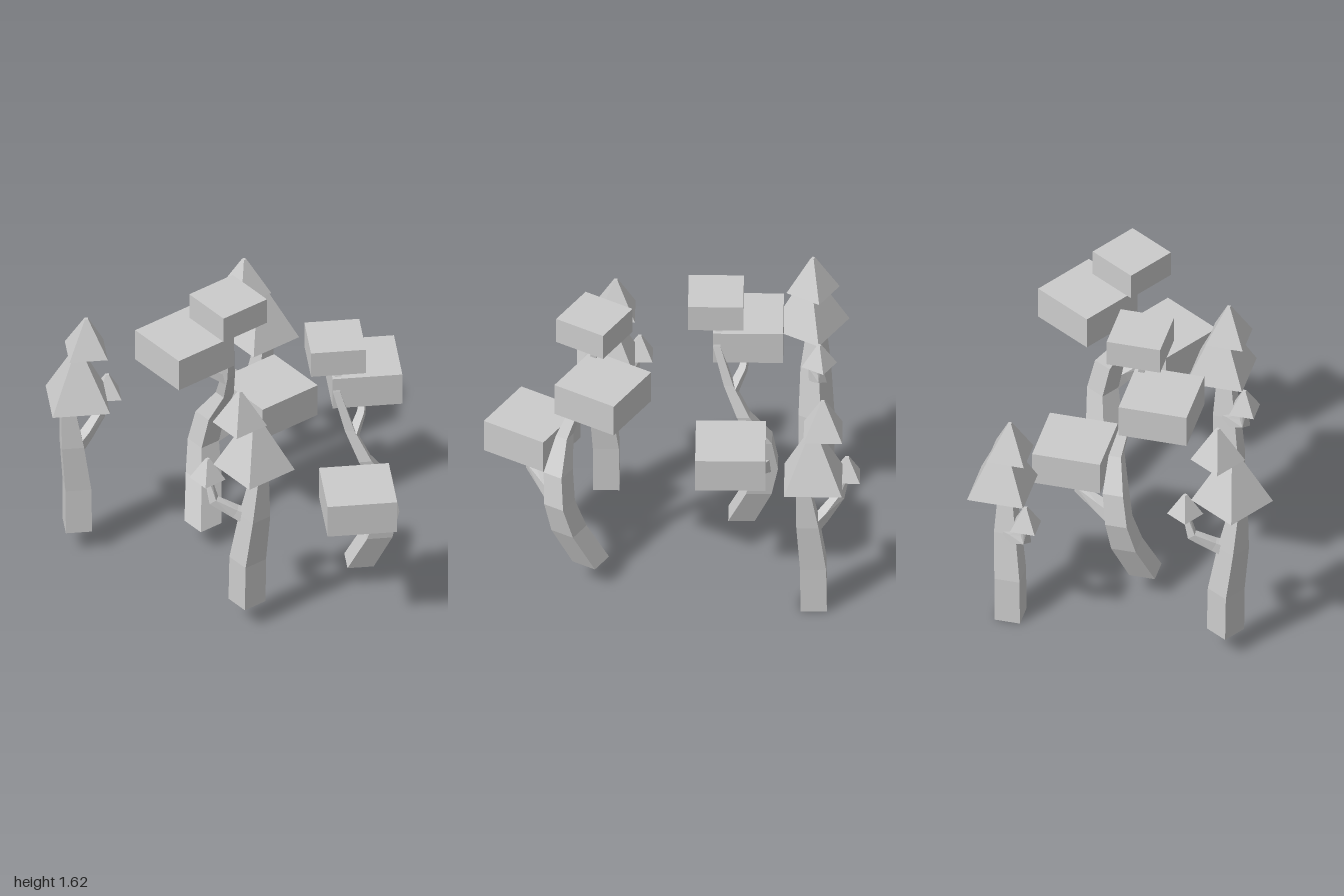
import * as THREE from 'three';

const TURN = -2.12; // rotation of the turned copy of each tree kind

function mesh(name, geometry) {
  const m = new THREE.Mesh(geometry, new THREE.MeshStandardMaterial({ color: 0xcccccc, flatShading: true }));
  m.name = name;
  return m;
}

// Square tapering limb through stations [x, y, z, width].
// Level limbs keep horizontal sections, the others follow the path.
function limb(name, stations, level = false) {
  const up = new THREE.Vector3(0, 1, 0);
  const pts = stations.map(s => new THREE.Vector3(s[0], s[1], s[2]));
  const rings = pts.map((p, i) => {
    let u = new THREE.Vector3(0, 0, 1), v = new THREE.Vector3(1, 0, 0);
    if (!level) {
      const t = pts[Math.min(i + 1, pts.length - 1)].clone().sub(pts[Math.max(i - 1, 0)]).normalize();
      u = t.clone().cross(up).normalize();
      v = t.clone().cross(u);
    }
    const h = stations[i][3] / 2;
    return [[1, -1], [1, 1], [-1, 1], [-1, -1]].map(([a, b]) =>
      p.clone().addScaledVector(u, a * h).addScaledVector(v, b * h));
  });
  const pos = [];
  const quad = (a, b, c, d) => [a, b, c, a, c, d].forEach(q => pos.push(q.x, q.y, q.z));
  for (let i = 0; i < rings.length - 1; i++) {
    const a = rings[i], b = rings[i + 1];
    for (let k = 0; k < 4; k++) {
      const n = (k + 1) % 4;
      quad(a[k], a[n], b[n], b[k]);
    }
  }
  const first = rings[0], last = rings[rings.length - 1];
  quad(first[3], first[2], first[1], first[0]);
  quad(last[0], last[1], last[2], last[3]);
  const g = new THREE.BufferGeometry();
  g.setAttribute('position', new THREE.Float32BufferAttribute(pos, 3));
  g.computeVertexNormals();
  return mesh(name, g);
}

// Square pyramid of foliage with a tiny flat tip
function pyramid(name, x, y, z, width, height) {
  const g = new THREE.CylinderGeometry(0.012, width * Math.SQRT1_2, height, 4);
  g.rotateY(Math.PI / 4);
  g.translate(x, y + height / 2, z);
  return mesh(name, g);
}

// Block of foliage
function block(name, x, y, z, width, height) {
  const g = new THREE.BoxGeometry(width, height, width);
  g.translate(x, y + height / 2, z);
  return mesh(name, g);
}

function pineTree() {
  const tree = new THREE.Group();
  tree.name = 'pineTree';
  tree.add(
    limb('pineTrunk', [
      [-0.30, 0.13, 0.352, 0.14],
      [-0.298, 0.40, 0.355, 0.138],
      [-0.275, 0.68, 0.385, 0.118],
      [-0.262, 0.965, 0.415, 0.066],
      [-0.262, 1.0, 0.41, 0.06],
    ], true),
    limb('pineBranch', [
      [-0.27, 0.645, 0.37, 0.07],
      [-0.335, 0.685, 0.30, 0.055],
      [-0.42, 0.75, 0.22, 0.045],
      [-0.43, 0.89, 0.178, 0.025],
    ]),
    pyramid('lowerFoliage', -0.255, 0.965, 0.355, 0.307, 0.345),
    pyramid('upperFoliage', -0.31, 1.238, 0.303, 0.205, 0.207),
    pyramid('branchFoliage', -0.428, 0.87, 0.177, 0.136, 0.127),
  );
  return tree;
}

function blockTree() {
  const tree = new THREE.Group();
  tree.name = 'blockTree';
  tree.add(
    limb('blockTrunk', [
      [-0.028, 0.13, -0.367, 0.14],
      [0.05, 0.36, -0.46, 0.135],
      [0.082, 0.54, -0.503, 0.118],
      [0.108, 0.72, -0.475, 0.112],
      [0.128, 0.887, -0.378, 0.068],
      [0.09, 1.06, -0.30, 0.05],
      [0.045, 1.28, -0.236, 0.038],
      [-0.01, 1.48, -0.265, 0.032],
    ], true),
    limb('lowBranch', [
      [0.09, 0.55, -0.50, 0.085],
      [0.20, 0.59, -0.46, 0.06],
      [0.325, 0.635, -0.41, 0.042],
      [0.36, 0.71, -0.32, 0.03],
    ]),
    limb('highBranch', [
      [0.10, 1.02, -0.32, 0.05],
      [0.0, 1.09, -0.375, 0.04],
      [-0.09, 1.19, -0.405, 0.025],
    ]),
    block('lowFoliage', 0.372, 0.696, -0.314, 0.372, 0.19),
    block('middleFoliage', -0.125, 1.175, -0.402, 0.372, 0.187),
    block('topFoliage', 0.035, 1.47, -0.232, 0.293, 0.15),
  );
  return tree;
}

export function createModel() {
  const model = new THREE.Group();
  model.name = 'treeCluster';

  // Three pines: as built, lowered at the back, and turned
  const backPine = pineTree();
  backPine.position.set(0.909, -0.13, -1.11);
  const turnedPine = pineTree();
  turnedPine.rotation.y = TURN;
  turnedPine.position.set(-0.425, 0, -0.317);

  // Two block trees: as built and turned
  const turnedBlockTree = blockTree();
  turnedBlockTree.rotation.y = TURN;
  turnedBlockTree.position.set(0.07, 0, 0.259);

  model.add(pineTree(), backPine, turnedPine, blockTree(), turnedBlockTree);
  return model;
}
